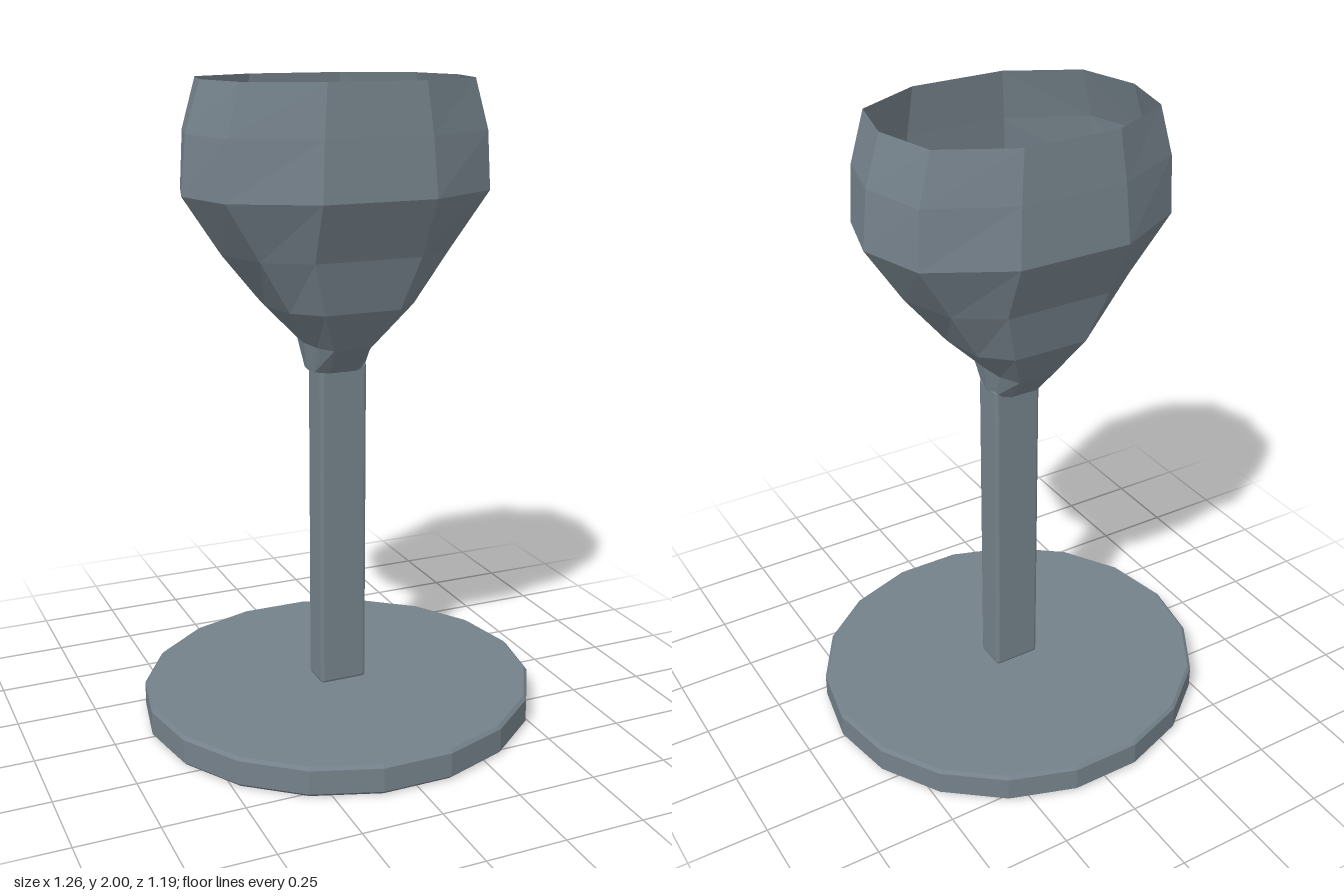
import * as THREE from 'three';
import { RoundedBoxGeometry } from 'three/addons/geometries/RoundedBoxGeometry.js';

// Ten-sided open bowl lofted through mirrored rings: [y, x0, x1, z1, x2, z2]
function bowlGeometry(rings, shift) {
  const positions = [];
  const index = [];
  const sides = 10;
  for (const [y, x0, x1, z1, x2, z2] of rings) {
    const half = [[x0, 0], [x1, z1], [x2, z2], [-x2, z2], [-x1, z1]];
    const ring = [...half, ...half.map(([x, z]) => [-x, -z])];
    for (const [x, z] of ring) positions.push(x + shift, y, z);
  }
  for (let r = 0; r < rings.length - 1; r++) {
    for (let i = 0; i < sides; i++) {
      const a = r * sides + i;
      const b = r * sides + (i + 1) % sides;
      index.push(a, a + sides, b, b, a + sides, b + sides);
    }
  }
  const geometry = new THREE.BufferGeometry();
  geometry.setAttribute('position', new THREE.Float32BufferAttribute(positions, 3));
  geometry.setIndex(index);
  const flat = geometry.toNonIndexed();
  flat.computeVertexNormals();
  return flat;
}

export function createModel() {
  const group = new THREE.Group();
  const material = new THREE.MeshStandardMaterial({ color: 0x74818a });
  material.name = 'slate grey';
  material.flatShading = true;
  material.side = THREE.DoubleSide;

  function add(name, geometry) {
    const mesh = new THREE.Mesh(geometry, material);
    mesh.name = name;
    group.add(mesh);
    return mesh;
  }

  // Foot: 18-sided disc with a small bevel, slightly narrower in depth
  const profile = [[0, 0], [0.62, 0], [0.63, 0.01], [0.63, 0.085], [0.62, 0.095], [0, 0.095]]
    .map(([x, y]) => new THREE.Vector2(x, y));
  const foot = new THREE.LatheGeometry(profile, 18, Math.PI / 2);
  foot.scale(1, 1, 0.603 / 0.63);
  add('foot', foot);

  // Stem: bevelled rectangular post
  const stem = add('stem', new RoundedBoxGeometry(0.154, 1.055, 0.106, 1, 0.01));
  stem.position.set(-0.002, 0.095 + 1.055 / 2, 0.001);

  // Bowl: thin faceted shell, open at the rim
  add('bowl', bowlGeometry([
    [1.13, 0.088, 0.082, 0.04, 0.045, 0.07],
    [1.215, 0.1, 0.09, 0.08, 0.06, 0.14],
    [1.34, 0.225, 0.2, 0.14, 0.12, 0.215],
    [1.5, 0.357, 0.3, 0.17, 0.168, 0.257],
    [1.675, 0.473, 0.413, 0.206, 0.175, 0.335],
    [1.85, 0.457, 0.403, 0.203, 0.165, 0.322],
    [2.0, 0.41, 0.362, 0.195, 0.15, 0.307],
  ], -0.012));

  return group;
}
